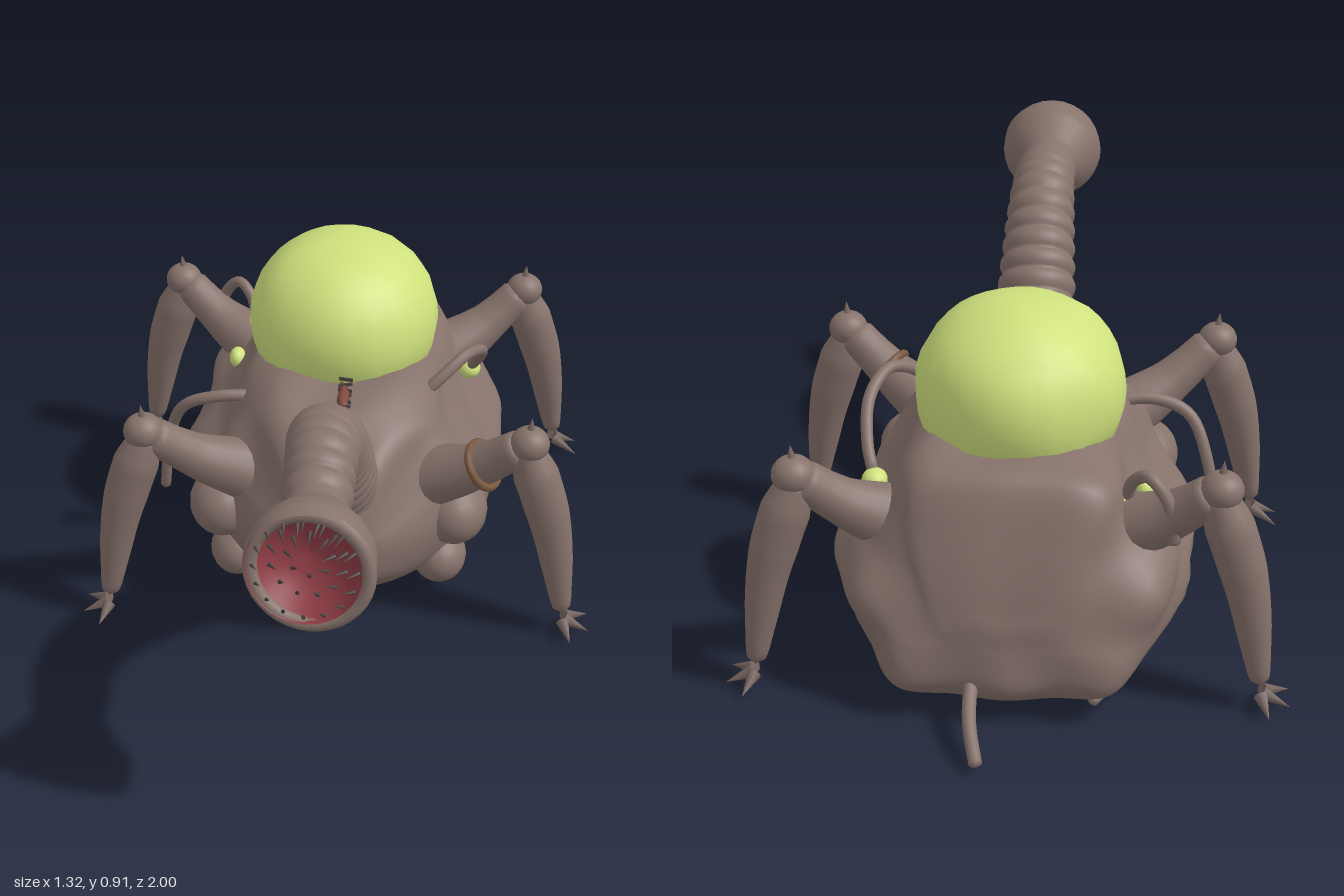
import * as THREE from 'three';
import { mergeVertices } from 'three/addons/utils/BufferGeometryUtils.js';

const mat = (name, color) => {
  const m = new THREE.MeshStandardMaterial({ color });
  m.name = name;
  return m;
};
const V = (p) => new THREE.Vector3(...p);

// Piecewise linear lookup in [t, value] pairs
const lookup = (pairs, t) => {
  for (let i = 1; i < pairs.length; i++) {
    const [t0, a] = pairs[i - 1], [t1, b] = pairs[i];
    if (t <= t1) return a + (b - a) * (t - t0) / (t1 - t0);
  }
  return pairs[pairs.length - 1][1];
};

const smooth = (g) => {
  g.deleteAttribute('uv');
  g.deleteAttribute('normal');
  g = mergeVertices(g, 1e-5);
  g.computeVertexNormals();
  return g;
};

// Tube along a path whose radius follows a function of arc length
const limbGeometry = (path, radius, seg = 24, sides = 16) => {
  const curve = new THREE.CatmullRomCurve3(path.map(V));
  const g = new THREE.TubeGeometry(curve, seg, 1, sides);
  const pos = g.attributes.position, p = new THREE.Vector3();
  for (let i = 0; i < pos.count; i++) {
    const t = Math.floor(i / (sides + 1)) / seg;
    const c = curve.getPointAt(t);
    p.fromBufferAttribute(pos, i).sub(c).multiplyScalar(radius(t)).add(c);
    pos.setXYZ(i, p.x, p.y, p.z);
  }
  return smooth(g);
};

// Soft bumps on the body: [|x|, y, z, radius, push]
const BUMPS = [
  [.3, .29, -.71, .08, .03], [.22, .11, -.75, .075, .035], [0, .12, -.8, .08, .025], [.34, .37, -.6, .07, .02],
  [.38, .22, -.5, .07, .015], [.4, .28, -.25, .08, .01], [.34, .1, -.3, .08, .015], [.27, .43, .0, .09, .04],
];

// Lumpy body lofted through [z, half width, bottom, top] stations
const bodyGeometry = () => {
  const half = [[0, 0], [.32, .005], [.64, .06], [.88, .19], [1, .42], [.93, .57], [.79, .68], [.68, .79], [.6, .92], [.42, 1], [0, 1]];
  const loop = [...half, ...half.slice(1, -1).reverse().map(([x, y]) => [-x, y])];
  const n = 96, rows = 84;
  const profile = new THREE.CatmullRomCurve3(loop.map(([x, y]) => new THREE.Vector3(x, y, 0)), true).getPoints(n).slice(0, n);
  const stations = [
    [.26, 0, .3, .3], [.25, .09, .19, .4], [.2, .17, .14, .46], [.1, .265, .075, .54], [0, .34, .04, .575],
    [-.15, .4, .012, .585], [-.35, .41, .004, .58], [-.55, .405, .01, .58], [-.67, .36, .025, .56],
    [-.74, .3, .04, .42], [-.785, .23, .08, .28], [-.795, 0, .18, .18],
  ];
  const widths = new THREE.CatmullRomCurve3(stations.map(([z, w]) => new THREE.Vector3(z, w, 0)));
  const heights = new THREE.CatmullRomCurve3(stations.map(([z, , b, t]) => new THREE.Vector3(z, b, t)));
  const verts = [], index = [], p = new THREE.Vector3(), out = new THREE.Vector3();
  for (let i = 0; i <= rows; i++) {
    const { x: z, y: w } = widths.getPoint(i / rows), { y: b, z: t } = heights.getPoint(i / rows);
    profile.forEach((q) => {
      const y = b + (t - b) * q.y;
      const ridge = .03 * Math.sin(36 * y + 3 * Math.sin(5 * z + q.x)) * Math.abs(q.x) * Math.min(1, Math.max(0, (.1 - z) * 4));
      const lump = .02 * Math.sin(13 * z + 4 * q.x) * Math.sin(11 * y + 2);
      p.set(Math.max(0, w) * q.x * (1 + ridge + lump), y + .006 * q.y * Math.sin(17 * z + 9 * q.x), z);
      out.set(p.x, p.y - .28, Math.min(0, (z + .55) * 1.5)).normalize();
      let push = 0;
      for (const [bx, by, bz, r, amount] of BUMPS) {
        const d = Math.hypot(Math.abs(p.x) - bx, p.y - by, z - bz) / r;
        push += amount * Math.exp(-d * d);
      }
      p.addScaledVector(out, push);
      verts.push(p.x, Math.max(.003, p.y), p.z);
    });
  }
  for (let i = 0; i < rows; i++) for (let j = 0; j < n; j++) {
    const a = i * n + j, b = i * n + (j + 1) % n;
    index.push(a, a + n, b, b, a + n, b + n);
  }
  const g = new THREE.BufferGeometry();
  g.setAttribute('position', new THREE.Float32BufferAttribute(verts, 3));
  g.setIndex(index);
  return smooth(g);
};

export function createModel() {
  const skin = mat('brown skin', 0x86726b);
  const claw = mat('dark claw', 0x75655e);
  const tooth = mat('dark tooth', 0x4a4442);
  const flesh = mat('red flesh', 0x8e3c44);
  flesh.side = THREE.DoubleSide;
  const green = mat('green sac', 0xcfe17d);
  const band = mat('tan band', 0x7a583f);
  const wound = mat('wound red', 0x854a40);

  const model = new THREE.Group();
  const add = (name, geometry, material, parent = model) => {
    const m = new THREE.Mesh(geometry, material);
    m.name = name;
    parent.add(m);
    return m;
  };
  const ball = (name, p, r, material = skin, stretch = [1, 1, 1], parent = model) => {
    const m = add(name, new THREE.SphereGeometry(r, 20, 14), material, parent);
    m.position.set(...p);
    m.scale.set(...stretch);
  };
  const spike = (name, from, to, r, material, parent) => {
    const a = V(from), d = V(to).sub(a), len = d.length();
    const m = add(name, new THREE.ConeGeometry(r, len, 8), material, parent);
    m.quaternion.setFromUnitVectors(new THREE.Vector3(0, 1, 0), d.normalize());
    m.position.copy(a).addScaledVector(d, len / 2);
  };
  const tendril = (name, path, r = .016) =>
    add(name, limbGeometry(path, (t) => r * lookup([[0, 0], [.01, 1], [.97, .9], [1, 0]], t), 32, 10), skin);

  add('body', bodyGeometry(), skin);

  // Full, slightly uneven sac on the back
  const sac = new THREE.SphereGeometry(1, 22, 16);
  const sp = sac.attributes.position;
  for (let i = 0; i < sp.count; i++) {
    const x = sp.getX(i), y = sp.getY(i), z = sp.getZ(i);
    const k = 1 + .08 * y * y * (1 - y * y) + .015 * Math.sin(5 * x + 2) * Math.sin(6 * z + 4 * y);
    sp.setXYZ(i, x * k * .25, y * k * .222, z * k * .268);
  }
  add('backSac', smooth(sac), green).position.set(-.008, .638, -.34);

  // Ribbed neck and flared head
  const neckRadii = [[0, .1], [.15, .096], [.4, .083], [.6, .071], [.76, .066], [.82, .074], [.87, .1], [.92, .128], [.96, .14], [1, .138]];
  add('neckAndHead', limbGeometry(
    [[0, .43, .15], [0, .54, .25], [0, .605, .3], [0, .71, .4], [0, .78, .5], [0, .805, .6], [0, .79, .72], [0, .78, .8], [0, .775, .955]],
    (t) => lookup(neckRadii, t) + (t < .78 ? .013 * Math.pow(Math.abs(Math.sin(t * Math.PI * 14 / .78)), .7) : 0), 180, 28), skin);

  // Round mouth with rings of teeth
  const mouth = new THREE.Group();
  mouth.name = 'mouth';
  mouth.position.set(0, .773, .957);
  mouth.rotation.set(-.17, -.12, 0);
  model.add(mouth);
  add('mouthRim', new THREE.TorusGeometry(.126, .016, 12, 36), skin, mouth);
  const gullet = new THREE.Group();
  gullet.name = 'gullet';
  gullet.position.set(-.01, .006, .006);
  mouth.add(gullet);
  const cup = [[0, -.075], [.05, -.068], [.09, -.042], [.115, -.008], [.125, .012]].map(([x, y]) => new THREE.Vector2(x, y));
  add('throat', new THREE.LatheGeometry(cup, 32), flesh, gullet).rotation.x = Math.PI / 2;
  [[.115, 0, 16], [.085, -.042, 12], [.052, -.065, 8]].forEach(([r, z, n], ring) => {
    for (let i = 0; i < n; i++) {
      const a = (i + ring * .5) / n * Math.PI * 2, c = Math.cos(a), s = Math.sin(a);
      spike('tooth', [r * c, r * s, z], [(r - .022) * c, (r - .022) * s, z + .03], .0048, tooth, gullet);
    }
  });

  for (const s of [1, -1]) {
    // Round swellings below the front legs
    ball('upperSwelling', [s * .3, .275, .02], .088, skin, [1, 1, 1.2]);
    ball('lowerSwelling', [s * .266, .125, .015], .072, skin, [1, 1, 1.2]);

    // Legs: thigh, shin, knee spike and three claws fanned outwards
    [{ name: 'frontLeg', hip: [.22, .37, .02], knee: [.475, .55, .13], foot: [.6, .06, .167], dir: 1 },
      { name: 'backLeg', hip: [.25, .39, -.56], knee: [.475, .55, -.655], foot: [.6, .06, -.69], dir: -1 }].forEach(({ name, hip, knee, foot, dir }) => {
      const leg = new THREE.Group();
      leg.name = name;
      model.add(leg);
      const at = ([x, y, z], dx = 0, dy = 0, dz = 0) => [s * (x + dx), y + dy, z + dz];
      const mix = (a, b, t) => a.map((v, i) => v + (b[i] - v) * t);
      const thigh = [[0, 0], [.02, .085], [.3, .07], [.55, .056], [.75, .05], [.95, .048], [1, 0]];
      add('thigh', limbGeometry([at(hip), at(mix(hip, knee, .5), 0, -.015), at(knee)], (t) => lookup(thigh, t)), skin, leg);
      const shin = [[0, 0], [.03, .035], [.2, .058], [.4, .056], [.7, .042], [.93, .027], [.97, .022], [1, 0]];
      add('shin', limbGeometry([at(knee, -.01, .02), at(mix(knee, foot, .45), .012), at(foot, -.01, 0)], (t) => lookup(shin, t)), skin, leg);
      ball('kneeCap', at(knee, .005, .005), .05, skin, [1, .9, 1], leg);
      spike('kneeSpike', at(knee, .005, .035), at(knee, .008, .08), .014, claw, leg);
      [[.06, -.055], [.06, .018], [.01, .072]].forEach(([dx, dz]) => {
        spike('claw', at(foot, dx * .1 - .01, -.018, dir * dz * .2), at(foot, dx, -.044, dir * dz), .017, claw, leg);
      });
    });
  }

  // Band around one front thigh
  const cuff = add('legBand', new THREE.TorusGeometry(.059, .011, 8, 28), band);
  cuff.position.set(.37, .457, .085);
  cuff.quaternion.setFromUnitVectors(new THREE.Vector3(0, 0, 1), new THREE.Vector3(.255, .19, .11).normalize());

  // Tendrils, some ending in green buds
  tendril('leftTendril', [[.18, .5, -.12], [.25, .565, -.14], [.32, .607, -.2], [.36, .57, -.29], [.355, .49, -.38], [.335, .435, -.43]]);
  ball('leftBud', [.332, .425, -.437], .031, green, [1, .9, 1.1]);
  tendril('rightTendril', [[-.2, .5, -.14], [-.32, .505, -.12], [-.41, .47, -.13], [-.46, .36, -.17], [-.49, .15, -.2]]);
  tendril('rearTendril', [[-.38, .4, -.645], [-.365, .51, -.65], [-.32, .565, -.63], [-.285, .54, -.6], [-.265, .47, -.57]]);
  ball('rearBud', [-.262, .465, -.565], .032, green);
  ball('sideBud', [-.308, .432, -.44], .028, green, [.8, 1, 1.1]);
  tendril('flankTendril', [[-.36, .3, -.22], [-.41, .24, -.24], [-.39, .13, -.28], [-.35, .05, -.34]]);
  tendril('bellyTendril', [[-.22, .05, -.4], [-.27, .03, -.5], [-.25, .017, -.62], [-.2, .02, -.73]]);
  tendril('tail', [[.06, .14, -.72], [.07, .1, -.8], [.065, .065, -.89], [.04, .025, -.995]], .017);

  // Stitched wound in front of the sac
  add('wound', limbGeometry([[0, .583, -.09], [.012, .584, -.04], [.012, .578, .01], [.028, .56, .06]],
    (t) => .016 * Math.sin(Math.PI * t), 16, 8), wound);
  for (let i = 0; i < 6; i++) {
    const stitch = add('stitch', new THREE.BoxGeometry(.036, .008, .005), tooth);
    stitch.position.set(.014, .6 - i * .004, -.07 + i * .02);
    stitch.rotation.y = i % 2 ? .3 : -.2;
  }
  return model;
}
